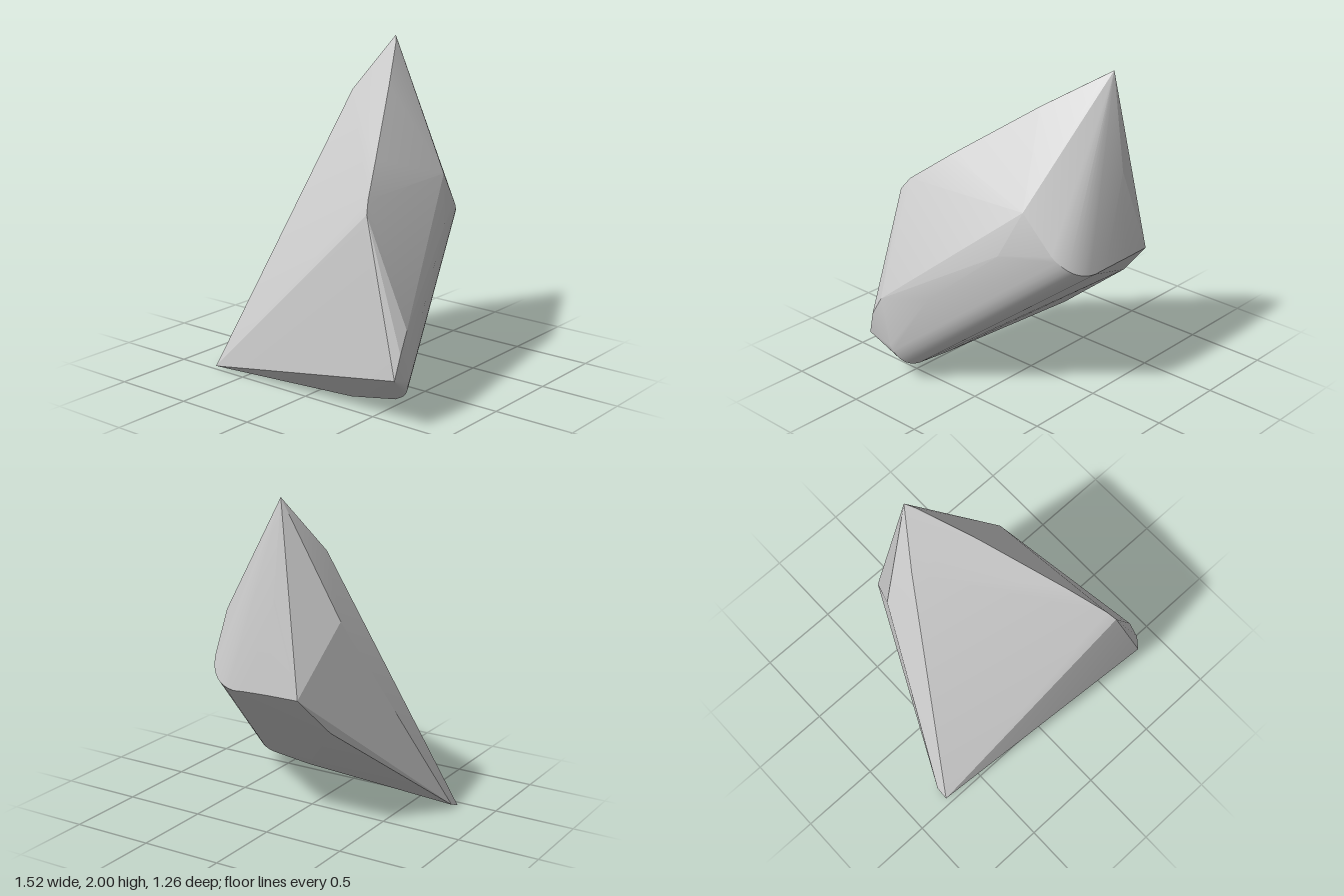
import * as THREE from 'three';
import { ConvexGeometry } from 'three/addons/geometries/ConvexGeometry.js';
import { toCreasedNormals } from 'three/addons/utils/BufferGeometryUtils.js';

const v = (x, y, z) => new THREE.Vector3(x, y, z);

// Points along a rounded corner: start, pulled toward corner, end
const arc = (a, corner, b, n) =>
  new THREE.QuadraticBezierCurve3(v(...a), v(...corner), v(...b)).getPoints(n);

export function createModel() {
  const group = new THREE.Group();
  group.name = 'rock';

  // Chiselled corners of the boulder
  const corners = [
    // peak and the ridge running down to the front shoulder
    [-0.12, 2.0, -0.51], [-0.08, 1.965, -0.46], [0.1, 1.765, -0.16],
    [0.36, 1.43, 0.3], [0.48, 1.26, 0.52], [0.51, 1.19, 0.57], [0.49, 1.07, 0.58],
    // left edge
    [-0.28, 1.68, -0.29], [-0.42, 1.31, -0.37],
    // left foot
    [-0.76, 0, 0.46], [-0.76, 0.03, 0.38],
    // right front edge
    [0.75, 0.31, 0.63], [0.76, 0.45, 0.59], [0.75, 0.57, 0.52],
    // front underside
    [0.3, 0.055, 0.44], [0.6, 0.105, 0.42],
    // right flank
    [0.4, 1.25, -0.3], [0.49, 0.98, -0.19], [0.55, 0.82, -0.03], [0.65, 0.63, 0.22],
    // back
    [-0.12, 1.42, -0.59], [-0.3, 0.9, -0.63], [-0.38, 0.66, -0.41],
    [-0.12, 0.9, -0.635], [0.06, 0.89, -0.625],
  ].map((p) => v(...p));

  // Worn lower right edge, from the back corner down to the front
  const back = arc([0.36, 1.02, -0.48], [0.31, 0.89, -0.6], [0.14, 0.88, -0.615], 8);
  const front = arc([0.73, 0.26, 0.48], [0.7, 0.12, 0.42], [0.56, 0.1, 0.41], 8);

  const geometry = toCreasedNormals(new ConvexGeometry([...corners, ...back, ...front]), 0.3);
  const boulder = new THREE.Mesh(geometry, new THREE.MeshStandardMaterial({ color: 0xcccccc }));
  boulder.name = 'boulder';
  group.add(boulder);
  return group;
}
